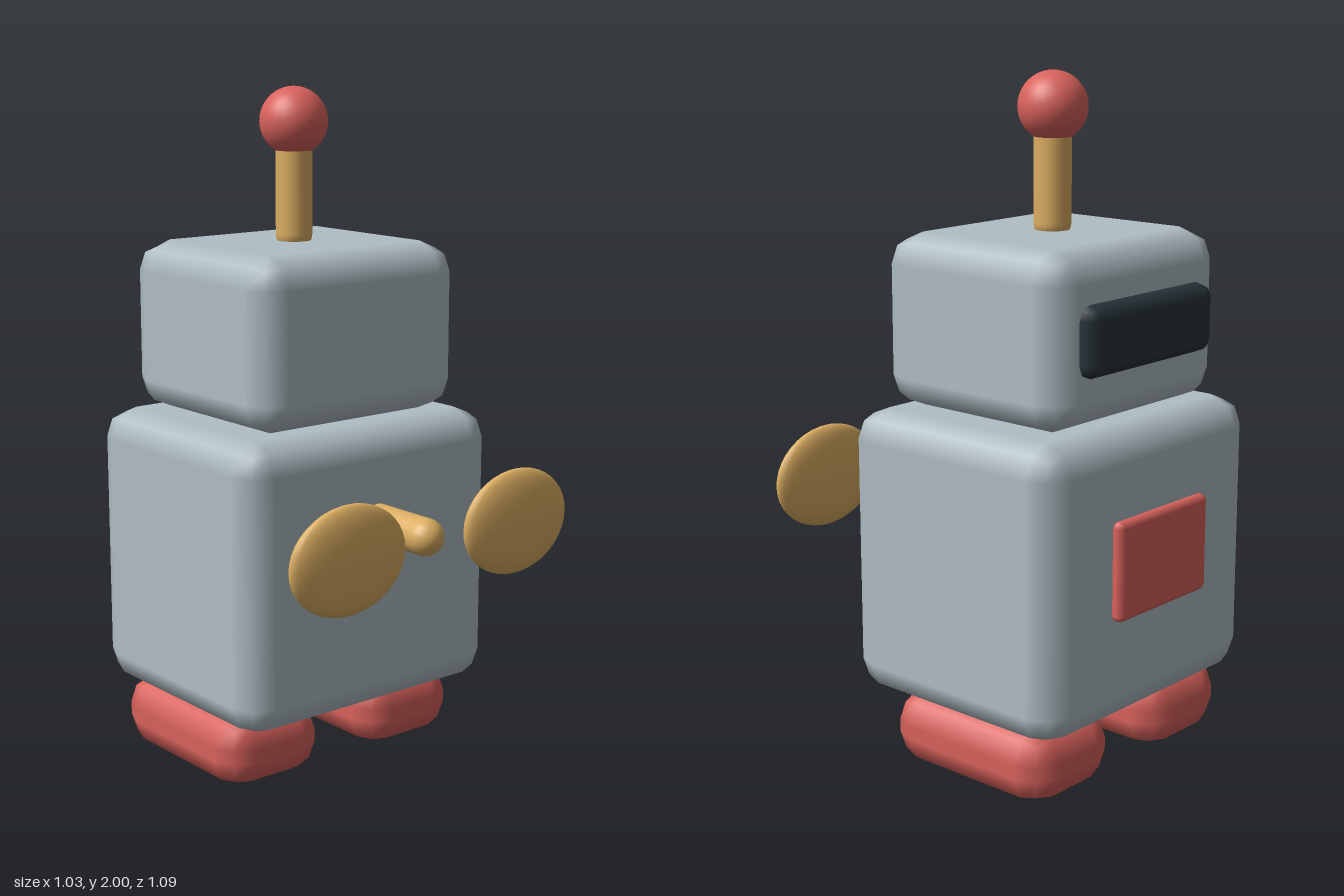
import * as THREE from 'three';
import { RoundedBoxGeometry } from 'three/addons/geometries/RoundedBoxGeometry.js';

function material(name, color) {
  const m = new THREE.MeshStandardMaterial({ color });
  m.name = name;
  return m;
}

export function createModel() {
  const robot = new THREE.Group();
  robot.name = 'windUpRobot';

  const grey = material('blueGrey', 0xb0bec5);
  const red = material('softRed', 0xd9625c);
  const gold = material('brass', 0xdcae62);
  const dark = material('darkSlate', 0x263238);

  function add(name, geometry, mat, x, y, z) {
    const mesh = new THREE.Mesh(geometry, mat);
    mesh.name = name;
    mesh.position.set(x, y, z);
    robot.add(mesh);
    return mesh;
  }
  const box = (w, h, d, r) => new RoundedBoxGeometry(w, h, d, 1, r);

  // Torso and head
  add('body', box(0.92, 0.85, 0.77, 0.09), grey, 0, 0.63, -0.127);
  add('head', box(0.735, 0.5, 0.66, 0.09), grey, 0, 1.305, -0.125);

  // Face visor and chest panel
  add('visor', box(0.55, 0.2, 0.1, 0.04), dark, 0, 1.31, -0.452);
  add('chestPanel', box(0.4, 0.29, 0.04, 0.019), red, 0, 0.668, -0.527);

  // Feet
  for (const [side, name] of [[1, 'leftFoot'], [-1, 'rightFoot']]) {
    add(name, box(0.35, 0.22, 0.585, 0.09), red, side * 0.26, 0.11, -0.16);
  }

  // Antenna
  add('antennaRod', new THREE.CapsuleGeometry(0.054, 0.24, 8, 24), gold, 0, 1.695, -0.125);
  add('antennaBall', new THREE.SphereGeometry(0.1, 32, 20), red, 0, 1.9, -0.125);

  // Wind-up key: shaft and two flattened wings
  const shaft = add('keyShaft', new THREE.CapsuleGeometry(0.054, 0.24, 8, 24), gold, 0, 0.78, 0.341);
  shaft.rotation.x = Math.PI / 2;
  for (const [side, name] of [[1, 'leftKeyWing'], [-1, 'rightKeyWing']]) {
    const wing = add(name, new THREE.SphereGeometry(1, 32, 20), gold, side * 0.313, 0.78, 0.5);
    wing.scale.set(0.2, 0.155, 0.045);
  }

  return robot;
}
